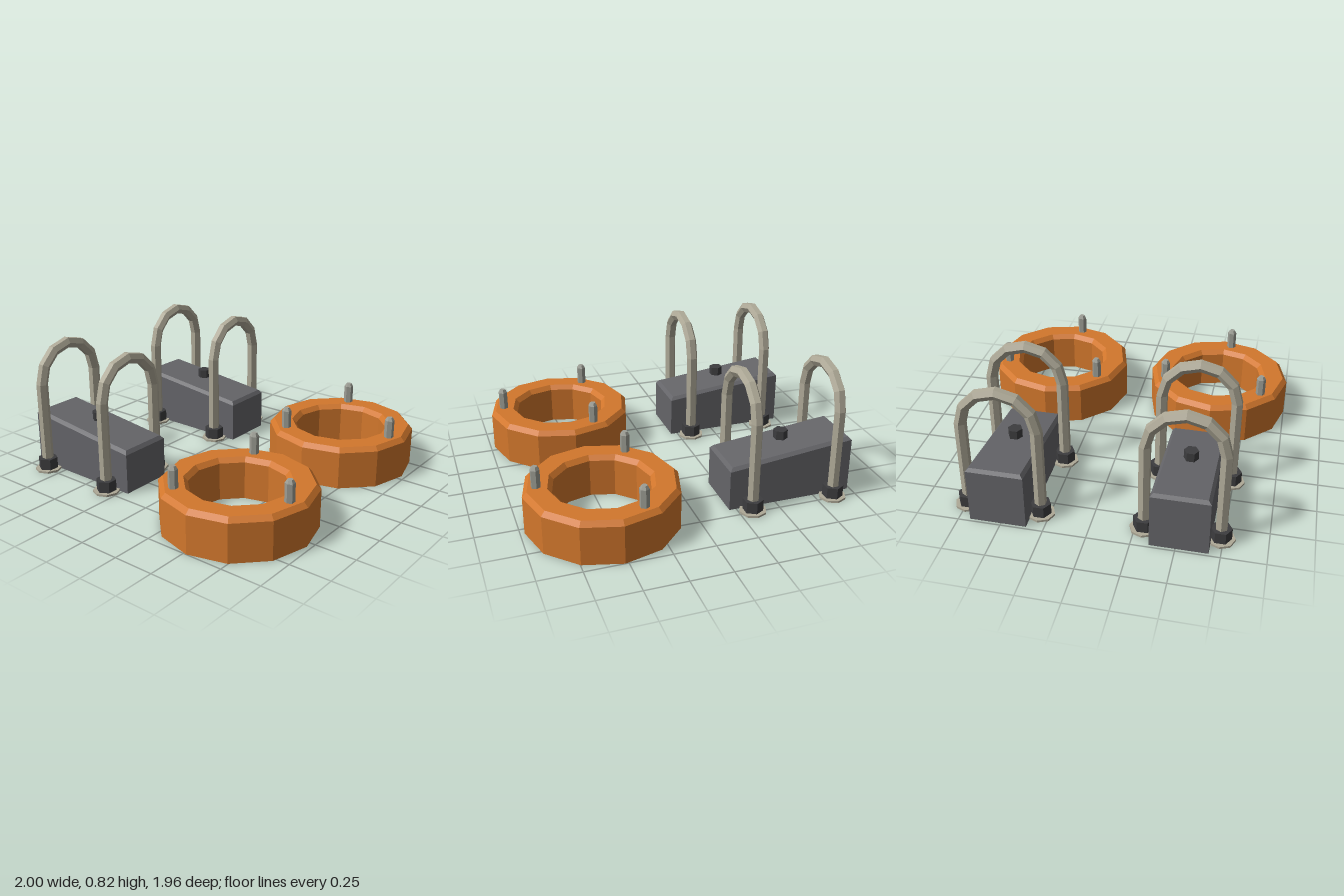
import * as THREE from 'three';
import { mergeGeometries } from 'three/addons/utils/BufferGeometryUtils.js';

const paint = (name, color) => Object.assign(new THREE.MeshStandardMaterial({ color }), { name });
const orange = paint('orangeRubber', 0xd2772c);
const grey = paint('blockGrey', 0x656569);
const steel = paint('paleSteel', 0xaea997);
const pinSteel = paint('pinSteel', 0x9c9d94);
const dark = paint('darkNut', 0x3d3d3f);

// Faceted normals for every face
function facet(geometry) {
  const g = geometry.index ? geometry.toNonIndexed() : geometry;
  g.computeVertexNormals();
  return g;
}

// Faceted solid of revolution from [radius, height] pairs
function turned(profile, sides, turn = 0) {
  const pts = profile.map(([r, y]) => new THREE.Vector2(r, y));
  return facet(new THREE.LatheGeometry(pts, sides).rotateY(turn));
}

function add(parent, name, geometry, material, x = 0, y = 0, z = 0) {
  const mesh = new THREE.Mesh(geometry, material);
  mesh.name = name;
  mesh.position.set(x, y, z);
  parent.add(mesh);
}

// Wedge block, higher at the back, with chamfered top edges
function blockGeometry() {
  const g = new THREE.BoxGeometry(1, 1, 1, 1, 2, 1);
  const p = g.attributes.position;
  for (let i = 0; i < p.count; i++) {
    const layer = Math.round(p.getY(i) * 2) + 1;
    const inset = layer === 2 ? 0.018 : 0;
    const x = Math.sign(p.getX(i)) * (0.166 - inset);
    const z = Math.sign(p.getZ(i)) * (0.388 - inset);
    const y = layer === 0 ? 0 : 0.312 - 0.11 * z - (layer === 1 ? 0.02 : 0);
    p.setXYZ(i, x, y, z);
  }
  return facet(g);
}

// Six-sided rod bent into an upside-down U
const BEND = 0.218, ROD = 0.036, SPRING = 0.57;
function uBoltGeometry() {
  const section = [];
  for (let i = 0; i <= 6; i++) {
    const a = (i * Math.PI) / 3 + Math.PI / 2;
    section.push(new THREE.Vector2(BEND + ROD * Math.cos(a), ROD * Math.sin(a)));
  }
  const arch = new THREE.LatheGeometry(section, 6, -Math.PI / 2, Math.PI)
    .rotateX(-Math.PI / 2).translate(0, SPRING, 0);
  const legs = [-1, 1].map((s) =>
    new THREE.CylinderGeometry(ROD, ROD, SPRING - 0.004, 6)
      .translate(s * BEND, SPRING / 2 + 0.002, 0));
  return mergeGeometries([arch, ...legs].map(facet));
}

export function createModel() {
  const model = new THREE.Group();
  model.name = 'mountingHardware';

  const ringGeo = turned([[0.455, 0], [0.455, 0.232], [0.428, 0.26], [0.312, 0.26],
    [0.286, 0.232], [0.286, 0], [0.455, 0]], 12);
  const pinGeo = turned([[0, 0.2], [0.029, 0.2], [0.029, 0.37], [0.017, 0.39], [0, 0.39]], 6, Math.PI / 2);
  const nutGeo = turned([[0, 0.012], [0.061, 0.012], [0.061, 0.082], [0, 0.082]], 6, Math.PI / 2);
  const washerGeo = turned([[0, 0], [0.082, 0], [0.082, 0.013], [0, 0.013]], 8);
  const headGeo = turned([[0, 0], [0.043, 0], [0.043, 0.055], [0, 0.055]], 6, Math.PI / 2);
  const blockGeo = blockGeometry();
  const boltGeo = uBoltGeometry();

  for (const [side, s] of [['right', -1], ['left', 1]]) {
    // Ring with three upright pins
    const ring = new THREE.Group();
    ring.name = side + 'Ring';
    ring.position.set(s * 0.545, 0, 0.52);
    add(ring, 'ringBody', ringGeo, orange);
    for (const deg of [97, 217, 337]) {
      const a = THREE.MathUtils.degToRad(deg);
      add(ring, 'pin', pinGeo, pinSteel, 0.37 * Math.cos(a), 0, 0.37 * Math.sin(a));
    }
    model.add(ring);

    // Sloping block with its bolt head, spanned by two U-bolts
    const clamp = new THREE.Group();
    clamp.name = side + 'Clamp';
    clamp.position.set(s * 0.518, 0, -0.595);
    add(clamp, 'block', blockGeo, grey);
    add(clamp, 'boltHead', headGeo, dark, 0, 0.335, 0.003);
    for (const z of [-0.257, 0.263]) {
      add(clamp, 'uBolt', boltGeo, steel, 0, 0, z);
      for (const x of [-BEND, BEND]) {
        add(clamp, 'nut', nutGeo, dark, x, 0, z);
        add(clamp, 'washer', washerGeo, steel, x, 0, z);
      }
    }
    model.add(clamp);
  }
  return model;
}
